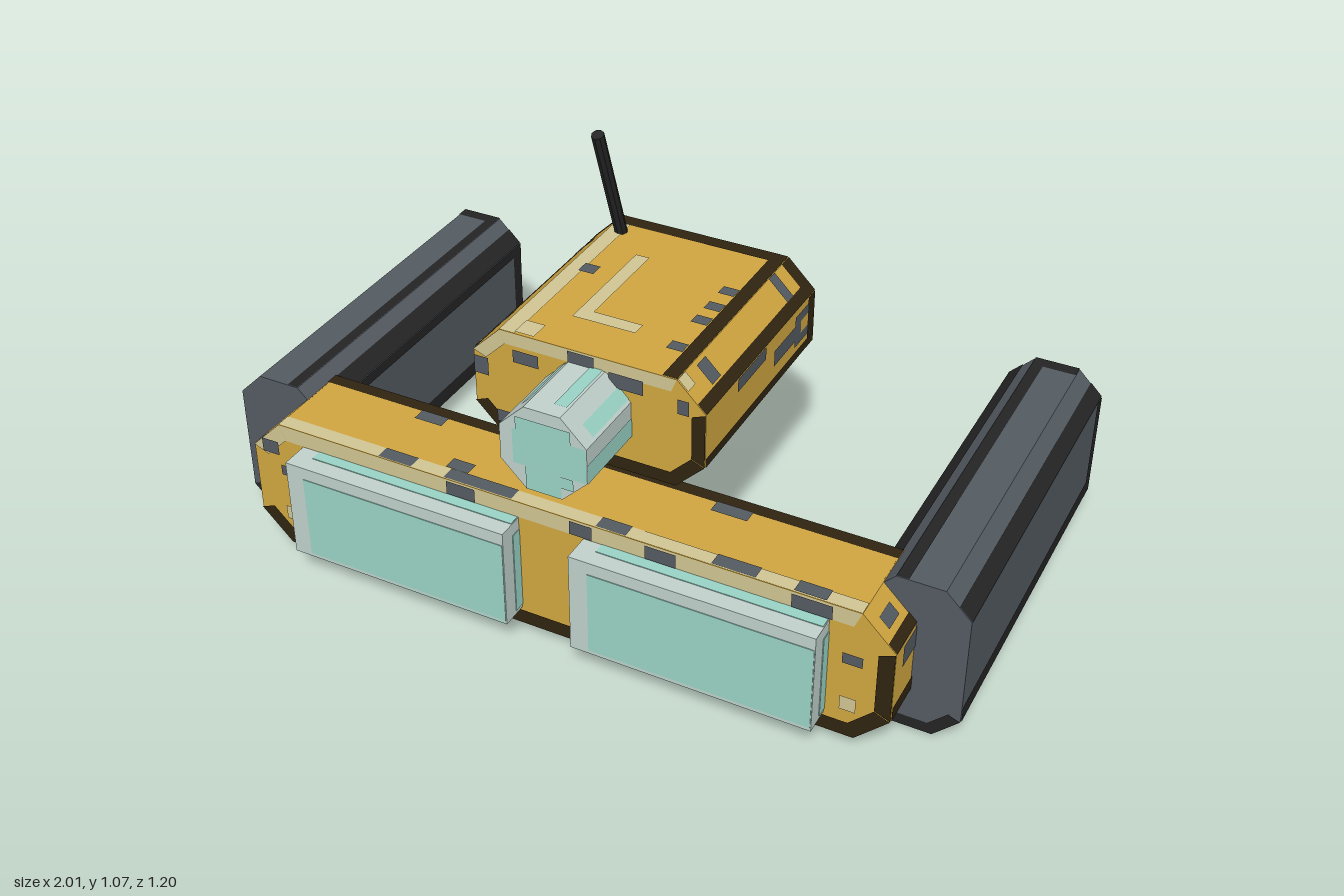
import * as THREE from 'three';

const mat = (name, color) => Object.assign(new THREE.MeshStandardMaterial({ color }), { name });
const gold = mat('gold', 0xcfa53f), brown = mat('dark brown', 0x2f2410), steel = mat('steel grey', 0x535a61);
const black = mat('black', 0x242424), beige = mat('worn beige', 0xd0c592), teal = mat('teal glass', 0x99d2c4);
const pale = mat('pale glass', 0xc0d0cb);

// Octagon corners, counter-clockwise; edge k faces the angle k * 45 degrees
function octagon(hw, hh, c) {
  const a = hw - c, b = hh - c;
  return [[hw, -b], [hw, b], [a, hh], [-a, hh], [-hw, b], [-hw, -b], [-a, -hh], [a, -hh]]
    .map(([x, y]) => new THREE.Vector2(x, y));
}

// Chamfered prism along z, with helpers that lay thin painted plates on its faces
function prism(name, x0, x1, y0, y1, z0, z1, c, material) {
  const group = new THREE.Group();
  group.name = name;
  const cx = (x0 + x1) / 2, cy = (y0 + y1) / 2, hw = (x1 - x0) / 2, hh = (y1 - y0) / 2;
  const pts = octagon(hw, hh, c);
  group.position.set(cx, cy, 0);
  const body = new THREE.Mesh(new THREE.ExtrudeGeometry(new THREE.Shape(pts),
    { depth: z1 - z0, bevelEnabled: false }).translate(0, 0, z0), material);
  body.name = name + 'Body';
  group.add(body);
  const count = {};
  const lift = (key) => 0.002 + 0.0005 * (count[key] = (count[key] ?? -1) + 1);
  const add = (geo, m) => {
    const mesh = new THREE.Mesh(geo, m);
    mesh.name = name + 'Paint';
    group.add(mesh);
    return mesh;
  };
  // Plate on long face k: s runs across the face from 0 to 1, z along it
  const side = (k, m, s0, s1, za = z0, zb = z1) => {
    const p = pts[k], q = pts[(k + 1) % 8], mid = p.clone().lerp(q, (s0 + s1) / 2);
    const t = q.clone().sub(p), len = t.length(), up = lift(k);
    t.normalize();
    const mesh = add(new THREE.PlaneGeometry(len * (s1 - s0), zb - za), m);
    const n = new THREE.Vector3(t.y, -t.x, 0);
    mesh.quaternion.setFromRotationMatrix(new THREE.Matrix4().makeBasis(
      new THREE.Vector3(t.x, t.y, 0), new THREE.Vector3(0, 0, 1), n));
    mesh.position.set(mid.x, mid.y, (za + zb) / 2).addScaledVector(n, up);
  };
  // Flat shape on the front or back end
  const end = (front, m, shape) => {
    const geo = new THREE.ShapeGeometry(shape);
    const key = front ? 'front' : 'back', up = lift(key);
    if (!front) geo.scale(-1, 1, 1).rotateY(0).setIndex([...geo.index.array].reverse());
    if (!front) geo.scale(-1, 1, 1).computeVertexNormals();
    add(geo, m).position.z = front ? z1 + up : z0 - up;
  };
  const rim = (front, m, w, edges) => {
    const inner = octagon(hw - w, hh - w, Math.max(0.002, c - 0.586 * w));
    for (const k of edges) {
      const j = (k + 1) % 8;
      end(front, m, new THREE.Shape([pts[k], pts[j], inner[j], inner[k]]));
    }
  };
  const patch = (front, m, xa, xb, ya, yb) => end(front, m, new THREE.Shape(
    [[xa, ya], [xb, ya], [xb, yb], [xa, yb]].map(([x, y]) => new THREE.Vector2(x - cx, y - cy))));
  return { group, side, rim, patch };
}

export function createModel() {
  const model = new THREE.Group();
  model.name = 'vehicle';

  // Side rails
  for (const s of [1, -1]) {
    const r = prism(s > 0 ? 'leftRail' : 'rightRail', s > 0 ? 0.752 : -1, s > 0 ? 1 : -0.752, 0, 0.428, -0.6, 0.4, 0.065, steel);
    const outer = s > 0 ? 0 : 4, inner = 4 - outer;
    for (const k of [5, 6, 7]) r.side(k, black, 0, 1);
    for (const k of [0, 4]) {
      r.side(k, black, k ? 0.85 : 0, k ? 1 : 0.15);
      r.side(k, black, 0, 1, -0.6, -0.56);
    }
    const oc = outer ? 3 : 1, ic = 4 - oc;
    r.side(oc, black, oc === 1 ? 0 : 0.5, oc === 1 ? 0.5 : 1);
    r.side(ic, black, ic === 1 ? 0 : 0.45, ic === 1 ? 0.55 : 1);
    r.side(inner, black, inner ? 0 : 0.9, inner ? 0.1 : 1);
    r.side(2, black, s > 0 ? 0.75 : 0, s > 0 ? 1 : 0.25);
    r.side(2, black, 0, 1, -0.6, -0.565);
    r.rim(true, black, 0.03, [5, 6, 7]);
    r.rim(false, black, 0.025, [0, 4, 5, 6, 7]);
    model.add(r.group);
  }

  // Front crossbar with worn edges
  const bar = prism('crossbar', -0.873, 0.873, 0.03, 0.4, 0.275, 0.523, 0.085, gold);
  bar.rim(true, beige, 0.043, [2, 3]);
  bar.rim(true, brown, 0.04, [0, 5, 6, 7]);
  for (const [a, b] of [[-0.29, -0.21], [0.05, 0.11], [0.25, 0.33], [0.62, 0.72]])
    bar.patch(true, steel, a, b, 0.36, 0.398);
  for (const x of [-0.77, 0.77]) {
    bar.patch(true, beige, x - 0.02, x + 0.02, 0.11, 0.15);
    bar.patch(true, steel, x - 0.02, x + 0.03, 0.25, 0.28);
  }
  bar.patch(true, steel, -0.84, -0.79, 0.31, 0.35);
  bar.rim(false, brown, 0.02, [1, 2, 3]);
  bar.side(2, beige, 0, 1, 0.485, 0.523);
  bar.side(2, brown, 0, 1, 0.275, 0.31);
  for (const [s, w, z] of [[0.78, 0.06, 0.485], [0.63, 0.12, 0.485], [0.4, 0.05, 0.485], [0.2, 0.07, 0.485],
    [0.08, 0.05, 0.485], [0.79, 0.05, 0.31], [0.26, 0.06, 0.31], [0.68, 0.04, 0.45]])
    bar.side(2, steel, s - w / 2, s + w / 2, z, z + 0.038);
  for (const s of [0.12, 0.33, 0.55, 0.8]) {
    bar.side(6, steel, s, s + 0.035, 0.47, 0.5);
    bar.side(6, steel, s + 0.07, s + 0.1, 0.31, 0.335);
  }
  bar.side(0, brown, 0, 0.2);
  bar.side(0, steel, 0.65, 0.95, 0.4, 0.48);
  bar.side(4, brown, 0.8, 1);
  bar.side(4, steel, 0.1, 0.35, 0.4, 0.48);
  bar.side(7, brown, 0, 0.25);
  bar.side(5, brown, 0.75, 1);
  bar.side(1, brown, 0, 0.25);
  bar.side(1, steel, 0.4, 0.7, 0.43, 0.49);
  bar.side(3, beige, 0, 1, 0.49, 0.523);
  model.add(bar.group);

  // Headlight panels
  for (const x of [-0.405, 0.398]) {
    const lamp = new THREE.Group();
    lamp.name = 'headlight';
    const box = (m, w, h, d, px, py, pz) => {
      const mesh = new THREE.Mesh(new THREE.BoxGeometry(w, h, d), m);
      mesh.name = 'headlightGlass';
      mesh.position.set(px, py, pz);
      lamp.add(mesh);
    };
    box(pale, 0.626, 0.275, 0.08, 0, 0.2165, 0.558);
    box(teal, 0.574, 0.232, 0.004, 0.024, 0.204, 0.598);
    box(teal, 0.574, 0.004, 0.03, 0.024, 0.354, 0.539);
    box(teal, 0.004, 0.232, 0.03, 0.313, 0.204, 0.539);
    box(teal, 0.626, 0.004, 0.08, 0, 0.079, 0.558);
    lamp.position.x = x;
    model.add(lamp);
  }

  // Cabin
  const cab = prism('cabin', -0.313, 0.31, 0.44, 0.738, -0.288, 0.337, 0.075, gold);
  cab.rim(true, beige, 0.035, [2, 3]);
  cab.rim(true, brown, 0.035, [0, 5, 6, 7]);
  for (const [a, b, c, d] of [[-0.05, 0.02, 0.7, 0.736], [0.06, 0.15, 0.67, 0.71], [-0.2, -0.13, 0.66, 0.695],
    [-0.31, -0.27, 0.6, 0.65], [0.24, 0.27, 0.65, 0.69], [-0.25, -0.2, 0.475, 0.51]])
    cab.patch(true, steel, a, b, c, d);
  cab.rim(false, brown, 0.02, [0, 1, 2, 3, 5, 6, 7]);
  for (const [x, y] of [[-0.15, 0.69], [0.1, 0.69], [-0.2, 0.49], [0.15, 0.48]])
    cab.patch(false, steel, x, x + 0.06, y, y + 0.025);
  // Roof markings
  cab.side(2, beige, 0.91, 1);
  cab.side(2, brown, 0, 0.08);
  cab.side(2, brown, 0, 1, -0.288, -0.248);
  cab.side(2, beige, 0.65, 0.73, -0.12, 0.21);
  cab.side(2, beige, 0.37, 0.65, 0.17, 0.21);
  for (const z of [-0.08, 0, 0.07, 0.2]) cab.side(2, steel, 0.08, 0.17, z, z + 0.035);
  cab.side(2, beige, 0.8, 0.91, 0.28, 0.337);
  cab.side(2, steel, 0.83, 0.92, -0.02, 0.02);
  // Upper chamfers
  for (const k of [1, 3]) {
    cab.side(k, brown, k === 1 ? 0 : 0.7, k === 1 ? 0.3 : 1);
    cab.side(k, brown, 0, 1, -0.288, -0.245);
    cab.side(k, steel, 0.3, 1, -0.2, -0.165);
    cab.side(k, steel, 0.35, 0.9, 0.21, 0.255);
    cab.side(k, beige, 0.65, 1, 0.3, 0.337);
  }
  // Sides and lower chamfers
  for (const k of [0, 4]) {
    const f = (m, a, b, za, zb) => cab.side(k, m, k ? 1 - b : a, k ? 1 - a : b, za, zb);
    f(brown, 0, 0.17);
    f(brown, 0, 1, -0.288, -0.248);
    f(steel, 0.76, 1, 0.01, 0.17);
    f(steel, 0.42, 0.72, -0.2, -0.04);
    f(steel, 0.3, 0.9, -0.248, -0.165);
    f(gold, 0.48, 0.72, -0.245, -0.2);
    const c = k ? 5 : 7, g = (m, a, b, za, zb) => cab.side(c, m, k ? 1 - b : a, k ? 1 - a : b, za, zb);
    g(brown, 0, 0.3);
    g(brown, 0, 1, -0.288, -0.245);
    g(steel, 0.4, 0.9, 0.26, 0.3);
    g(steel, 0.4, 0.9, 0.13, 0.17);
  }
  // Underside frames
  cab.side(6, brown, 0, 1);
  cab.side(6, gold, 0.1, 0.9, -0.235, 0.285);
  cab.side(6, brown, 0.2, 0.8, -0.175, 0.225);
  cab.side(6, gold, 0.26, 0.74, -0.145, 0.195);
  model.add(cab.group);

  // Camera lens
  const lens = prism('lens', -0.115, 0.115, 0.475, 0.705, 0.33, 0.551, 0.067, pale);
  lens.patch(true, teal, -0.08, 0.114, 0.542, 0.638);
  lens.patch(true, teal, -0.047, 0.047, 0.477, 0.542);
  lens.patch(true, teal, -0.07, 0.075, 0.638, 0.675);
  lens.patch(true, teal, 0.047, 0.08, 0.51, 0.542);
  for (const k of [5, 6, 7]) lens.side(k, teal, 0, 1);
  lens.side(0, teal, 0, 0.55);
  lens.side(4, teal, 0.45, 1);
  lens.side(1, teal, 0.1, 0.5, 0.337, 0.51);
  lens.side(2, teal, 0.05, 0.4, 0.337, 0.51);
  lens.side(3, teal, 0.1, 0.45, 0.337, 0.51);
  model.add(lens.group);

  // Slanted antenna
  const antenna = new THREE.Mesh(new THREE.CylinderGeometry(0.017, 0.017, 0.765, 8).toNonIndexed(), black);
  antenna.geometry.computeVertexNormals();
  antenna.name = 'antenna';
  antenna.position.set(-0.203, 0.706, -0.225);
  antenna.rotation.x = 0.34;
  model.add(antenna);
  return model;
}
